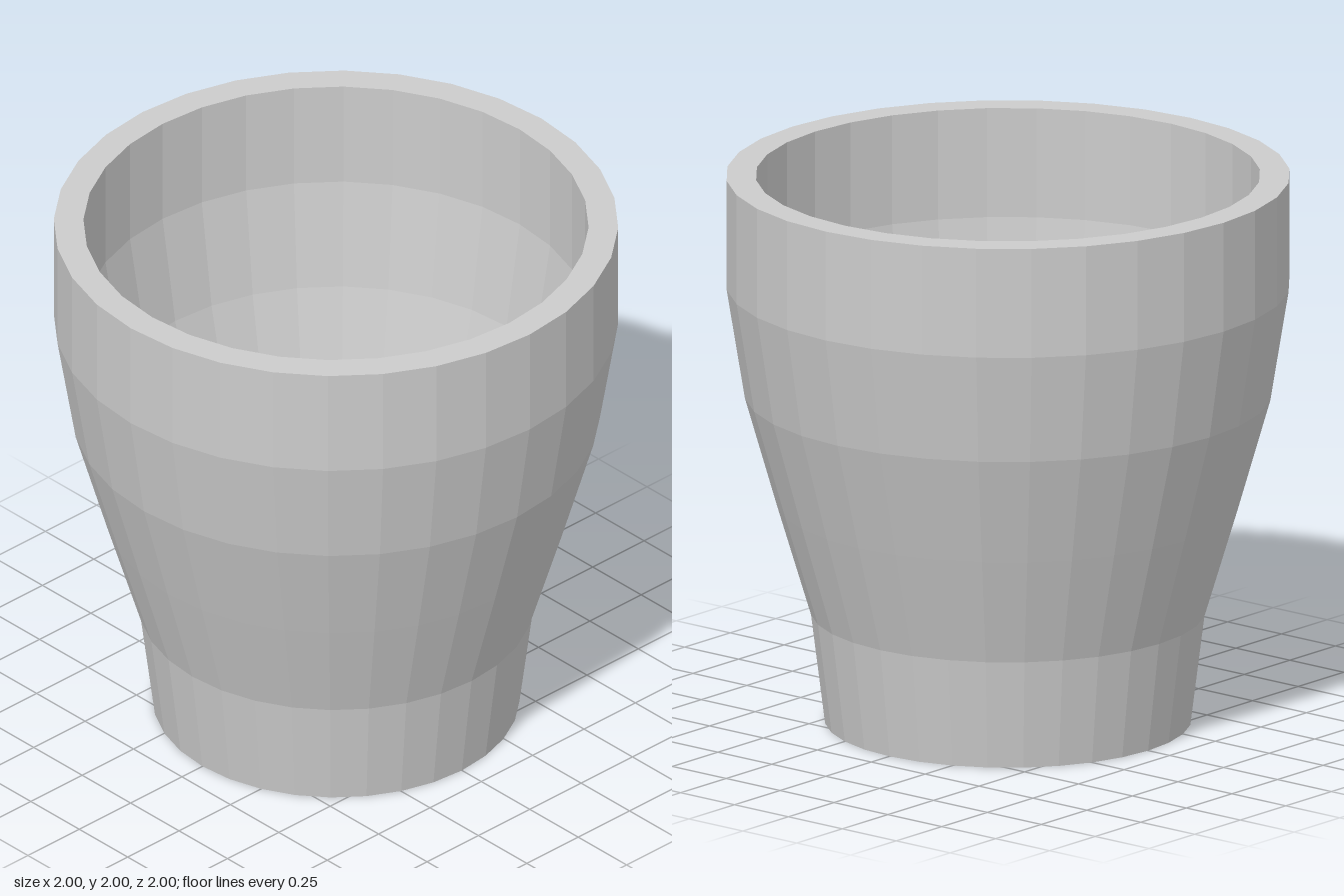
import * as THREE from 'three';

export function createModel() {
  const group = new THREE.Group();
  group.name = 'cup';
  const material = new THREE.MeshStandardMaterial({ color: 0xcccccc, flatShading: true });

  // Closed wall profile [radius, height]: base, outer wall, rim, inner wall, floor
  const profile = [
    [0, 0], [0.65, 0], [0.7, 0.4], [0.82, 0.8], [0.935, 1.2], [1, 1.6], [1, 2],
    [0.895, 2], [0.895, 1.6], [0.83, 1.2], [0.72, 0.8], [0.6, 0.4], [0, 0.4],
  ].map(([r, y]) => new THREE.Vector2(r, y));

  const body = new THREE.Mesh(new THREE.LatheGeometry(profile, 32), material);
  body.name = 'cupBody';
  group.add(body);
  return group;
}
